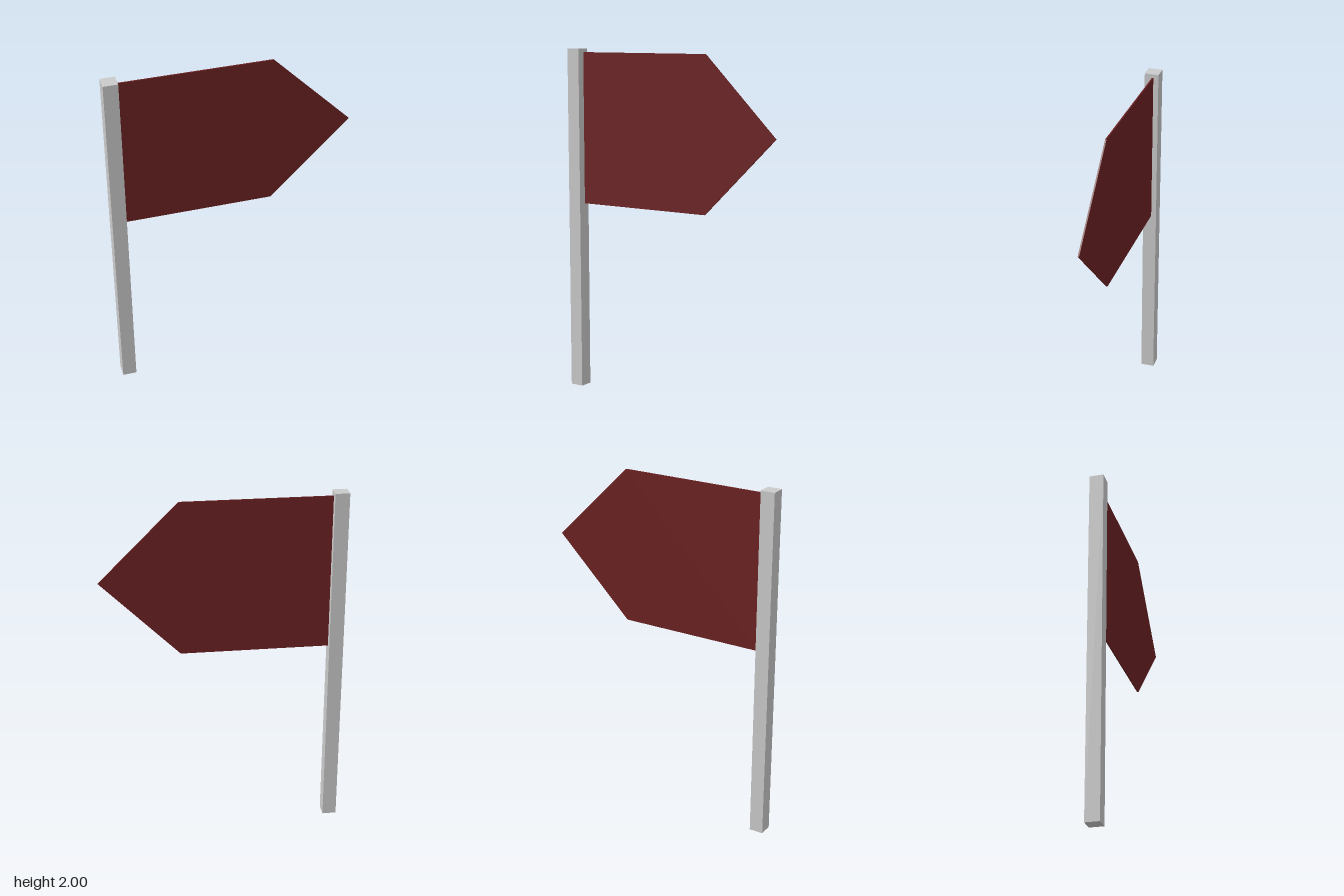
import * as THREE from 'three';

export function createModel() {
  const group = new THREE.Group();
  const postGrey = new THREE.MeshStandardMaterial({ name: 'postGrey', color: 0xcacaca });
  const flagRed = new THREE.MeshStandardMaterial({ name: 'flagRed', color: 0x6c2122 });

  // Square upright post
  const post = new THREE.Mesh(new THREE.BoxGeometry(0.08, 2, 0.08), postGrey);
  post.name = 'post';
  post.position.set(-0.64, 1, 0);
  group.add(post);

  // Thin panel with a pointed outer end, set slightly behind the post's centre
  const outline = new THREE.Shape([
    [-0.598, 1.1], [0.235, 1.1], [0.677, 1.54], [0.235, 1.98], [-0.598, 1.98],
  ].map(([x, y]) => new THREE.Vector2(x, y)));
  const flag = new THREE.Mesh(
    new THREE.ExtrudeGeometry(outline, { depth: 0.008, bevelEnabled: false }), flagRed);
  flag.name = 'flagPanel';
  flag.position.z = -0.011;
  group.add(flag);

  return group;
}
